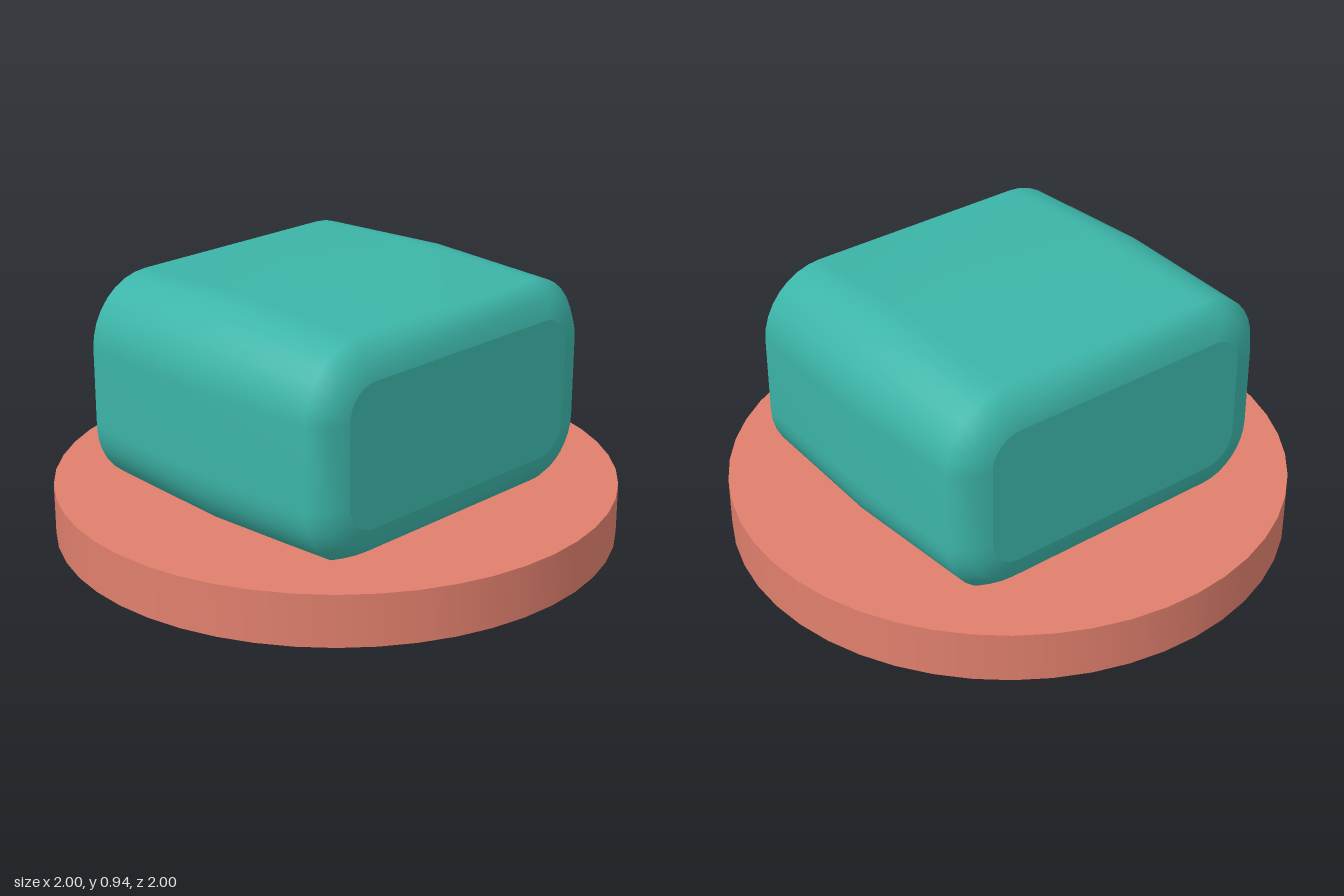
import * as THREE from 'three';

const DISC_HEIGHT = 0.185;
const CORNER_STEPS = 8;
// Arc centres of the rounded rectangle, shared by every cross-section
const CORNER_X = 0.42, CORNER_TOP = 0.675, CORNER_BOTTOM = 0.39;

// Cross-sections from back to front: [z, corner radius]
const SECTIONS = [
  [-0.592, 0.11], [-0.575, 0.185], [-0.52, 0.24], [0, 0.26],
  [0.52, 0.24], [0.575, 0.185], [0.592, 0.11],
];

// Rounded rectangle, counter-clockwise seen from +z
function outline(radius) {
  const points = [];
  for (let corner = 0; corner < 4; corner++) {
    const cx = corner === 0 || corner === 3 ? CORNER_X : -CORNER_X;
    const cy = corner < 2 ? CORNER_TOP : CORNER_BOTTOM;
    for (let i = 0; i <= CORNER_STEPS; i++) {
      const a = (corner + i / CORNER_STEPS) * Math.PI / 2;
      points.push(new THREE.Vector2(cx + radius * Math.cos(a), cy + radius * Math.sin(a)));
    }
  }
  return points;
}

// Smooth skin through all the cross-sections
function loftGeometry() {
  const positions = [], index = [];
  const n = 4 * (CORNER_STEPS + 1);
  SECTIONS.forEach(([z, radius], s) => {
    for (const p of outline(radius)) positions.push(p.x, p.y, z);
    if (s === 0) return;
    for (let i = 0; i < n; i++) {
      const j = (i + 1) % n;
      const a = (s - 1) * n + i, b = (s - 1) * n + j, c = s * n + j, d = s * n + i;
      index.push(a, b, c, a, c, d);
    }
  });
  const geometry = new THREE.BufferGeometry();
  geometry.setAttribute('position', new THREE.Float32BufferAttribute(positions, 3));
  geometry.setIndex(index);
  geometry.computeVertexNormals();
  return geometry;
}

export function createModel() {
  const model = new THREE.Group();
  model.name = 'roundedBlockOnDisc';

  const teal = new THREE.MeshStandardMaterial({ color: 0x3cb4a8 });
  teal.name = 'teal';
  const coral = new THREE.MeshStandardMaterial({ color: 0xe07f6d });
  coral.name = 'coral';

  // Round base
  const base = new THREE.Mesh(new THREE.CylinderGeometry(1, 1, DISC_HEIGHT, 48), coral);
  base.name = 'baseDisc';
  base.position.y = DISC_HEIGHT / 2;
  model.add(base);

  // Block with softened rims, slightly fuller in the middle
  const block = new THREE.Group();
  block.name = 'block';
  const shell = new THREE.Mesh(loftGeometry(), teal);
  shell.name = 'blockShell';
  block.add(shell);

  // Flat end faces
  const [endZ, endRadius] = SECTIONS[SECTIONS.length - 1];
  for (const [name, side] of [['frontFace', 1], ['backFace', -1]]) {
    const face = new THREE.Mesh(new THREE.ShapeGeometry(new THREE.Shape(outline(endRadius))), teal);
    face.name = name;
    face.position.z = side * endZ;
    if (side < 0) face.rotation.y = Math.PI;
    block.add(face);
  }
  model.add(block);

  return model;
}
